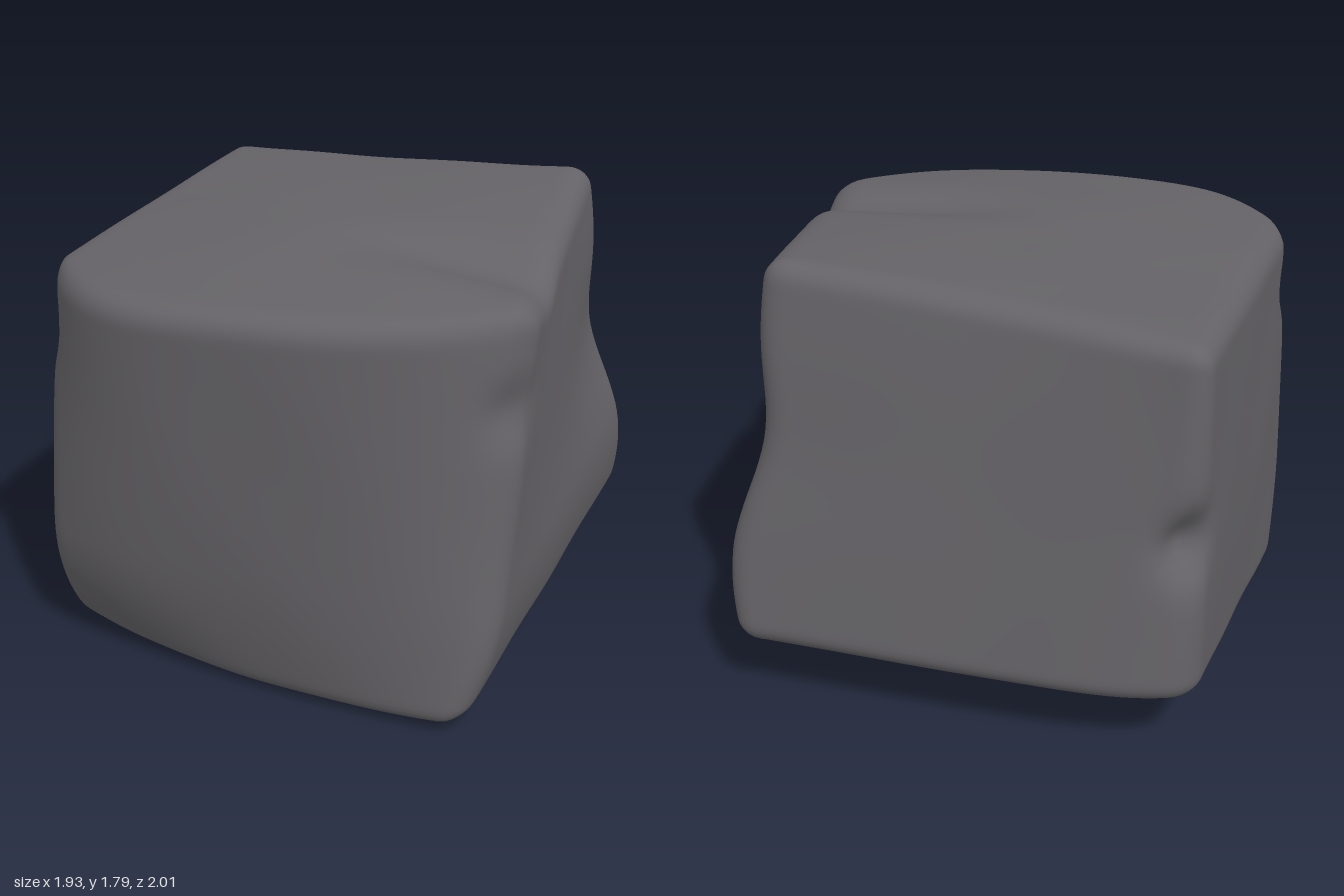
import * as THREE from 'three';
import { mergeVertices } from 'three/addons/utils/BufferGeometryUtils.js';

const V = (x, y, z) => new THREE.Vector3(x, y, z);

// Corners of the leaning block: [bottom/top][back/front][-x/+x]
const CORNERS = [
  [[V(-0.95, 0.29, -0.86), V(0.94, 0.30, -1.02)], [V(-0.97, 0.03, 0.82), V(0.92, 0.04, 0.81)]],
  [[V(-0.93, 1.69, -0.81), V(0.73, 1.82, -0.77)], [V(-0.95, 1.62, 0.62), V(0.97, 1.65, 0.50)]],
];

// Chips in the edges: centre, push, radius
const CHIPS = [
  [V(-0.93, 0.92, -0.85), V(0.08, 0, 0.08), 0.12],
  [V(0.92, 1.28, 0.56), V(-0.04, 0, -0.02), 0.12],
  [V(-0.95, 1.36, 0.68), V(0.03, 0, -0.02), 0.11],
];

const smooth = THREE.MathUtils.smoothstep;
const clamp = THREE.MathUtils.clamp;

// Crowd grid lines towards the edges
const crowd = (t) => Math.sign(t) * (1 - Math.pow(1 - Math.abs(t), 1.4));

// Round the edges of the unit cube
function roundCube(p, r) {
  const k = 1 - r;
  const core = V(clamp(p.x, -k, k), clamp(p.y, -k, k), clamp(p.z, -k, k));
  return p.sub(core).setLength(r).add(core);
}

// Place a cube point inside the leaning block
function place(p) {
  const [u, v, w] = [p.x, p.y, p.z].map((t) => clamp((t + 1) / 2, 0, 1));
  const edge = (j, k) => CORNERS[j][k][0].clone().lerp(CORNERS[j][k][1], u);
  const side = (j) => edge(j, 0).lerp(edge(j, 1), w);
  const q = side(0).lerp(side(1), v);
  const low = 1 - v;
  const ax = Math.abs(p.x);
  const bow = Math.sin(Math.PI * v);

  // Swollen upper front and lower back, upper back slightly hollow
  q.z += 0.42 * (1 - ax ** 3) * (1 - 0.2 * p.x) * v ** 0.85 * w;
  q.z -= 0.12 * (1 - ax ** 4) * (1 - u) * low * (1 - w);
  q.z += 0.04 * (1 - p.x ** 2) * v * v * (1 - w);
  // Front edges: one bowed out with its foot cut back, one bowed in
  q.z += bow * w * (0.04 * (1 - u) ** 3 - 0.03 * u ** 3);
  q.z -= 0.22 * Math.max(0, 1 - v / 0.33) ** 2 * (1 - u) ** 3 * w ** 3;
  // Rounded foot of the +x face
  q.x -= 0.1 * u ** 3 * Math.max(0, 1 - v / 0.3) ** 2;
  // Hollow along the back edge of the +x face
  const hollow = Math.exp(-(((v - 0.55) / 0.2) ** 2)) * u ** 2 * (1 - w) ** 3;
  q.x -= 0.09 * hollow;
  q.z += 0.02 * hollow;
  // Slight swelling of the -x face, the top and the underside
  q.x -= 0.015 * (1 - u) * bow * (1 - p.z ** 2);
  q.y += 0.03 * (1 - p.x ** 2) * (1 - p.z ** 2) * v;
  q.y -= 0.04 * (1 - p.x ** 2) * low * w;
  return q;
}

function carve(q) {
  // Cleft running across the top to the +x edge
  const top = smooth(q.y, 1.25, 1.6);
  const dz = q.z - 0.2;
  const width = dz < 0 ? 0.13 : 0.16;
  q.y -= 0.07 * top * smooth(q.x, -0.15, 0.7) * Math.exp(-((dz / width) ** 2));
  for (const [centre, push, radius] of CHIPS) {
    q.addScaledVector(push, Math.exp(-centre.distanceToSquared(q) / (radius * radius)));
  }
  // Faint unevenness
  const n = Math.sin(5 * q.x + 3 * q.y) * Math.sin(4 * q.y - 5 * q.z) * Math.cos(3 * q.z + 4 * q.x);
  return q.addScaledVector(V(q.x, q.y - 0.9, q.z).normalize(), 0.005 * n);
}

export function createModel() {
  let geometry = new THREE.BoxGeometry(2, 2, 2, 48, 48, 48);
  geometry.deleteAttribute('uv');
  geometry.deleteAttribute('normal');
  geometry = mergeVertices(geometry);

  const pos = geometry.attributes.position;
  const p = new THREE.Vector3();
  for (let i = 0; i < pos.count; i++) {
    p.fromBufferAttribute(pos, i);
    p.set(crowd(p.x), crowd(p.y), crowd(p.z));
    const q = carve(place(roundCube(p, 0.11)));
    pos.setXYZ(i, q.x, q.y, q.z);
  }

  // Rest on the ground
  geometry.computeBoundingBox();
  geometry.translate(0, -geometry.boundingBox.min.y, 0);
  geometry.computeVertexNormals();

  const stone = new THREE.MeshStandardMaterial({ color: 0x646266 });
  stone.name = 'dark grey stone';
  const rock = new THREE.Mesh(geometry, stone);
  rock.name = 'rock';

  const group = new THREE.Group();
  group.name = 'stoneBlock';
  group.add(rock);
  return group;
}
